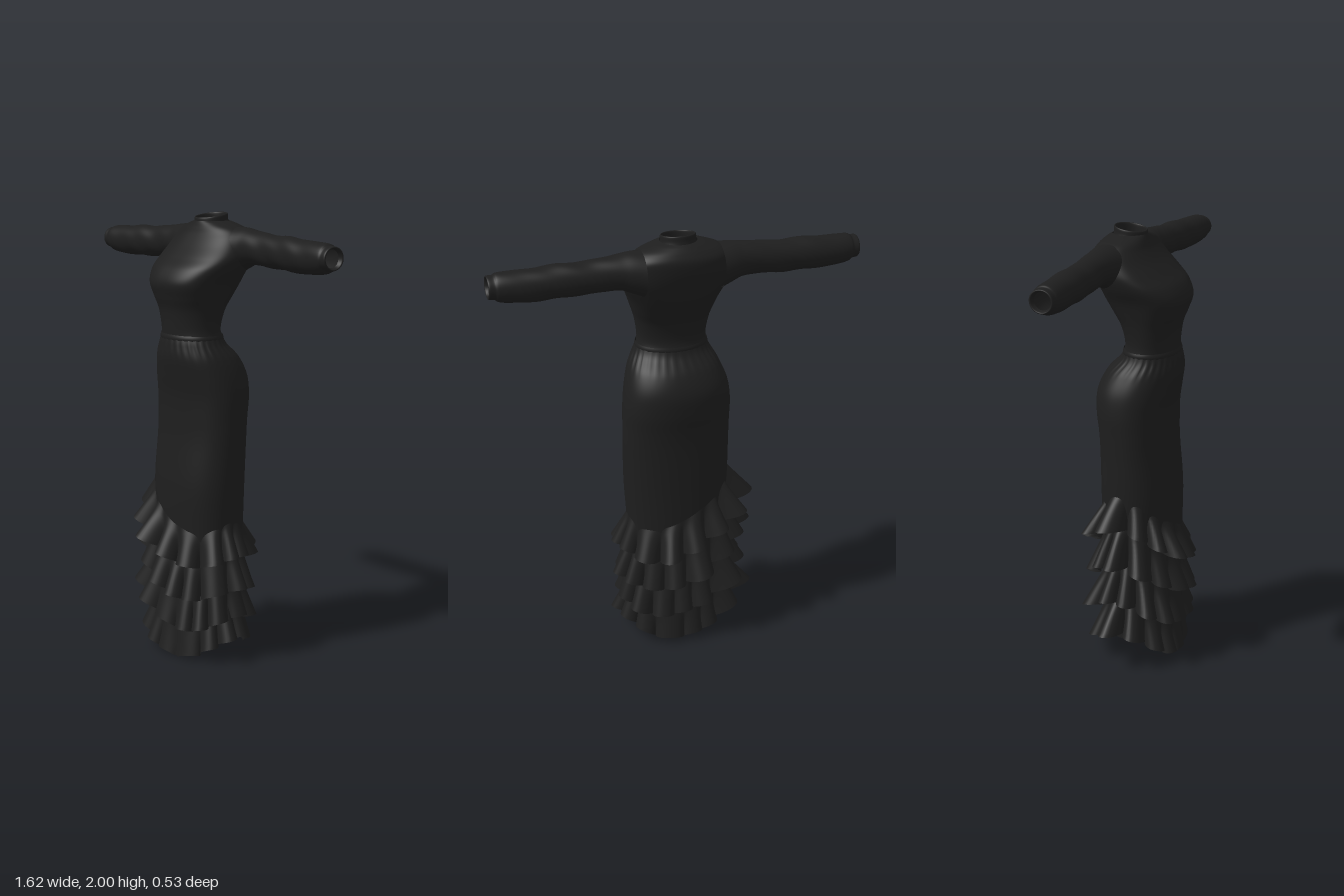
import * as THREE from 'three';

const TAU = Math.PI * 2;
const cloth = new THREE.MeshStandardMaterial({ color: 0x1e1e1e, side: THREE.DoubleSide });
cloth.name = 'black cloth';

// Closed tube of rows: point(angle, v) -> [x, y, z]; keep() may drop quads to cut holes
function tube(name, around, rows, point, keep = () => true) {
  const pos = [], index = [];
  for (let j = 0; j <= rows; j++)
    for (let i = 0; i < around; i++) pos.push(...point((i / around) * TAU, j / rows));
  const at = (k, c) => pos[k * 3 + c];
  for (let j = 0; j < rows; j++)
    for (let i = 0; i < around; i++) {
      const a = j * around + i, b = j * around + ((i + 1) % around);
      const c = a + around, d = b + around;
      if (!keep(...[0, 1, 2].map((n) => (at(a, n) + at(d, n)) / 2))) continue;
      index.push(a, c, b, b, c, d);
    }
  const geo = new THREE.BufferGeometry();
  geo.setAttribute('position', new THREE.Float32BufferAttribute(pos, 3));
  geo.setIndex(index);
  geo.computeVertexNormals();
  const mesh = new THREE.Mesh(geo, cloth);
  mesh.name = name;
  return mesh;
}

// Smooth interpolation through a list of cross-sections, v from 0 to 1
function smooth(sections) {
  const it = new THREE.CubicInterpolant(
    sections.map((_, i) => i), sections.flat(), sections[0].length);
  return (v) => [...it.evaluate(v * (sections.length - 1))];
}

// Rounded section with separate right, left, front and back reach; lower power is boxier
function ring(a, xr, xl, zf, zb, power) {
  const c = Math.cos(a), s = Math.sin(a);
  const round = (t) => Math.sign(t) * Math.abs(t) ** power;
  return [(xl - xr) / 2 + ((xl + xr) / 2) * round(c), (zf + zb) / 2 + ((zf - zb) / 2) * round(s)];
}

// Sections: y, reach to -x, reach to +x, front z, back z, power
const skirtShape = smooth([
  [0.10, 0.20, 0.20, 0.14, -0.15, 0.9],
  [0.40, 0.215, 0.21, 0.155, -0.165, 0.88],
  [0.60, 0.235, 0.22, 0.16, -0.17, 0.88],
  [0.80, 0.25, 0.232, 0.16, -0.17, 0.88],
  [1.00, 0.25, 0.237, 0.14, -0.172, 0.88],
  [1.10, 0.25, 0.237, 0.137, -0.178, 0.88],
  [1.20, 0.25, 0.236, 0.14, -0.19, 0.88],
  [1.29, 0.238, 0.225, 0.155, -0.188, 0.89],
  [1.37, 0.208, 0.203, 0.168, -0.152, 0.91],
  [1.43, 0.175, 0.172, 0.165, -0.095, 0.95],
  [1.47, 0.162, 0.156, 0.157, -0.075, 0.97],
]);
const bodiceShape = smooth([
  [1.44, 0.164, 0.160, 0.155, -0.083, 0.96],
  [1.50, 0.160, 0.150, 0.157, -0.07, 0.97],
  [1.58, 0.170, 0.160, 0.165, -0.085, 0.88],
  [1.64, 0.183, 0.177, 0.185, -0.115, 0.79],
  [1.70, 0.200, 0.197, 0.200, -0.148, 0.75],
  [1.76, 0.228, 0.225, 0.172, -0.172, 0.78],
  [1.81, 0.240, 0.240, 0.120, -0.188, 0.82],
  [1.86, 0.232, 0.232, 0.070, -0.197, 0.84],
  [1.905, 0.215, 0.215, 0.035, -0.197, 0.86],
  [1.935, 0.180, 0.180, 0.020, -0.180, 0.9],
  [1.955, 0.120, 0.120, 0.012, -0.160, 0.95],
  [1.965, 0.080, 0.080, 0.008, -0.143, 1],
]);

// Sleeve sections: distance out, centre y, half height, centre z, half depth
const sleeveShape = smooth([
  [0.17, 1.845, 0.098, -0.094, 0.100],
  [0.22, 1.854, 0.087, -0.095, 0.086],
  [0.27, 1.860, 0.075, -0.094, 0.074],
  [0.34, 1.857, 0.071, -0.091, 0.068],
  [0.44, 1.850, 0.070, -0.087, 0.066],
  [0.54, 1.847, 0.071, -0.083, 0.067],
  [0.64, 1.843, 0.069, -0.078, 0.066],
  [0.73, 1.844, 0.065, -0.072, 0.063],
  [0.77, 1.846, 0.060, -0.069, 0.059],
  [0.785, 1.847, 0.051, -0.068, 0.054],
  [0.808, 1.848, 0.049, -0.067, 0.053],
  [0.811, 1.848, 0.043, -0.067, 0.045],
  [0.795, 1.848, 0.037, -0.067, 0.037],
]);

function sleeve(side, name) {
  return tube(name, 40, 72, (a, v) => {
    const [d, y, ry, z, rz] = sleeveShape(v);
    // soft diagonal creases that fade at the shoulder and cuff
    const fade = Math.max(0, Math.sin(((d - 0.17) / 0.6) * Math.PI));
    const crease = 1 + 0.045 * fade * Math.sin(d * 32 + 2 * a + side) * Math.sin(a + d * 9);
    return [
      side * d,
      y + ry * crease * Math.cos(a),
      z + 0.008 * side * d - side * rz * crease * Math.sin(a),
    ];
  });
}

// Gathered frill: the hem tilts and lifts towards the sides, and the flare grows to the hem
function frill(k, { base, tilt, lift, flare, height }) {
  return tube('frill' + (k + 1), 288, 10, (a, v) => {
    const drop = 1 - v, nx = Math.cos(a), nz = Math.sin(a);
    const phase = 14 * a + k * 1.9 + 0.9 * Math.sin(3 * a + k * 2) + 0.5 * Math.sin(5 * a + k);
    const lobe = (0.5 + 0.5 * Math.sin(phase)) ** 0.8;
    const size = 0.84 + 0.16 * Math.sin(4 * a + k * 2.3);
    const reach = flare - 0.03 * nx + (0.115 - flare) * nx * nx;
    const out = 0.004 + drop * (0.012 + (reach - 0.012) * lobe * size);
    // pushes the fold sides apart so each lobe hangs round and full
    const sway = -0.016 * drop * Math.cos(phase);
    const hem = base - tilt * nx + lift * Math.abs(nx) ** 3 + 0.01 * (1 - nz) + 0.018 * lobe * drop;
    return [
      -0.008 + (0.225 + out) * nx - sway * nz,
      Math.max(0, hem + height * v),
      -0.005 + (0.166 + out) * nz + sway * nx,
    ];
  });
}

export function createModel() {
  const dress = new THREE.Group();
  dress.name = 'dress';

  // Long skirt with fine gathers just under the waist
  dress.add(tube('skirt', 120, 80, (a, v) => {
    const [y, ...s] = skirtShape(v);
    const [x, z] = ring(a, ...s);
    const pleat = 1 + 0.012 * Math.exp(-(((y - 1.42) / 0.04) ** 2)) * Math.sin(30 * a);
    return [x * pleat, y, z * pleat];
  }));

  // Fitted bodice with open armholes
  const armhole = (x, y, z) => Math.abs(x) < 0.12 || Math.hypot(y - 1.853, z + 0.088) > 0.06;
  dress.add(tube('bodice', 96, 80, (a, v) => {
    const [y, ...s] = bodiceShape(v);
    const [x, z] = ring(a, ...s);
    return [x, y, z];
  }, armhole));

  // Waist seam
  dress.add(tube('waistSeam', 96, 8, (a, v) => {
    const bulge = 0.004 * Math.sin(v * Math.PI);
    const [x, z] = ring(a, 0.163 + bulge, 0.157 + bulge, 0.158 + bulge, -0.077 - bulge, 0.96);
    return [x, 1.445 + 0.03 * v, z];
  }));

  // Standing collar, higher at the back, folded in at the top
  const collarShape = smooth([
    [1.945, 0.082], [1.965, 0.077], [1.984, 0.076], [1.989, 0.072], [1.982, 0.068], [1.95, 0.068],
  ]);
  dress.add(tube('collar', 64, 20, (a, v) => {
    const [y, r] = collarShape(v);
    const z = r * 0.95 * Math.sin(a);
    return [r * Math.cos(a), y - 0.15 * z, z - 0.064];
  }));

  dress.add(sleeve(1, 'leftSleeve'), sleeve(-1, 'rightSleeve'));

  // Four overlapping frills slanting down towards the left
  [
    { base: 0.475, tilt: 0.105, lift: 0.095, flare: 0.105, height: 0.165 },
    { base: 0.31, tilt: 0.09, lift: 0.095, flare: 0.085, height: 0.19 },
    { base: 0.15, tilt: 0.065, lift: 0.1, flare: 0.07, height: 0.19 },
    { base: 0.0, tilt: 0.035, lift: 0.125, flare: 0.04, height: 0.18 },
  ].forEach((spec, k) => dress.add(frill(k, spec)));

  return dress;
}
